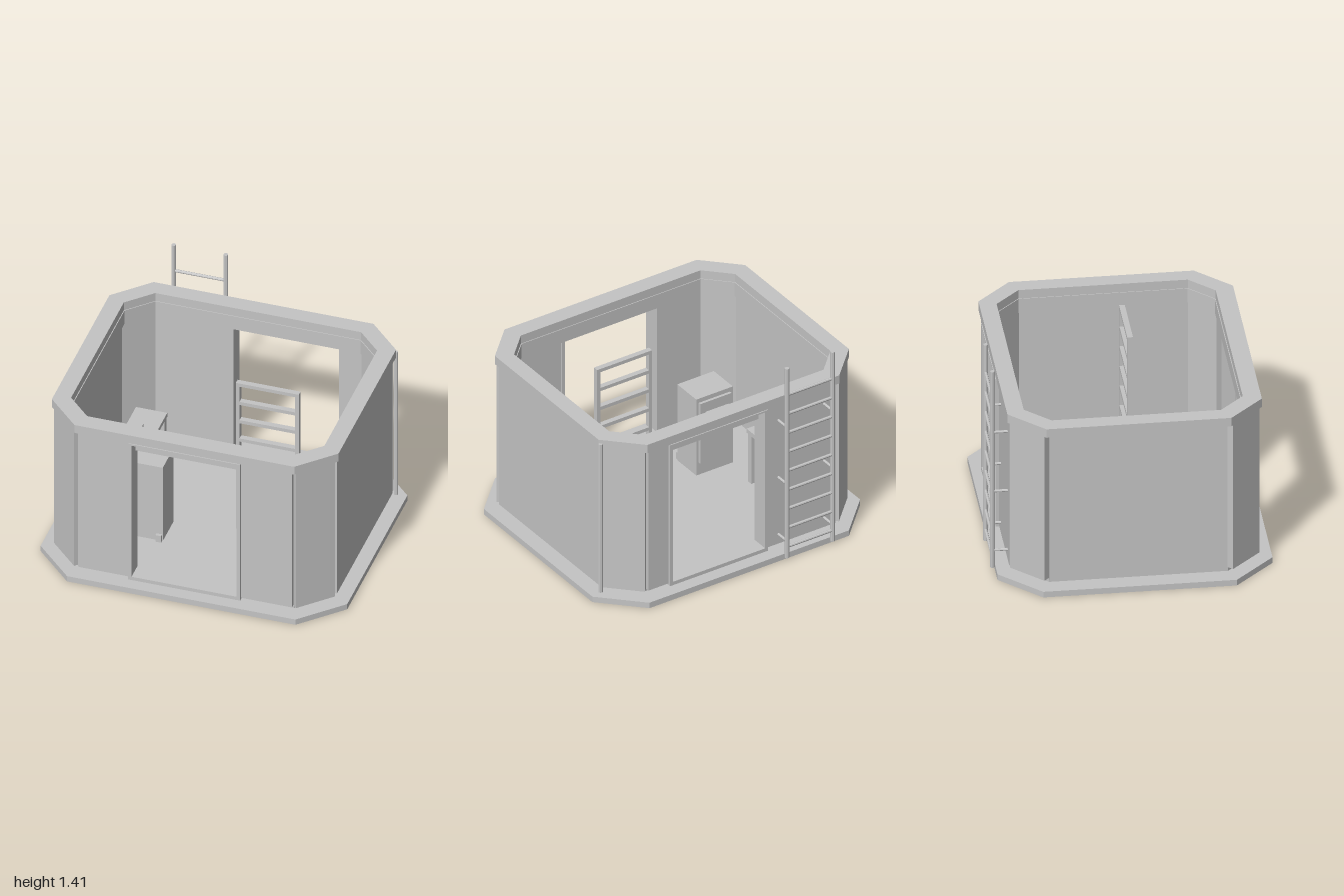
import * as THREE from 'three';

export function createModel() {
  const root = new THREE.Group();
  root.name = 'shelter';
  const grey = new THREE.MeshStandardMaterial({ color: 0xc4c4c4 });
  grey.name = 'plain grey';

  const add = (name, geometry, parent = root) => {
    const mesh = new THREE.Mesh(geometry, grey);
    mesh.name = name;
    parent.add(mesh);
    return mesh;
  };
  const group = (name) => {
    const g = new THREE.Group();
    g.name = name;
    root.add(g);
    return g;
  };
  // Box given by its limits on each axis
  const box = (name, x0, x1, y0, y1, z0, z1, parent) => {
    const mesh = add(name, new THREE.BoxGeometry(x1 - x0, y1 - y0, z1 - z0), parent);
    mesh.position.set((x0 + x1) / 2, (y0 + y1) / 2, (z0 + z1) / 2);
    return mesh;
  };
  // Faceted bar between two points
  const bar = (name, a, b, r, parent) => {
    const p = new THREE.Vector3(...a), d = new THREE.Vector3(...b).sub(p);
    const geometry = new THREE.CylinderGeometry(r, r, d.length(), 8).toNonIndexed();
    geometry.computeVertexNormals();
    const mesh = add(name, geometry, parent);
    mesh.position.copy(p).addScaledVector(d, 0.5);
    mesh.quaternion.setFromUnitVectors(new THREE.Vector3(0, 1, 0), d.normalize());
    return mesh;
  };
  // Plan of a rectangle with cut corners (shape y is -z)
  const plan = (x, front, back, cut) => [
    [x, -front + cut], [x, -back - cut], [x - cut, -back], [cut - x, -back],
    [-x, -back - cut], [-x, -front + cut], [cut - x, -front], [x - cut, -front],
  ].map(([a, b]) => new THREE.Vector2(a, b));
  const slab = (name, outer, inner, y0, y1) => {
    const shape = new THREE.Shape(outer);
    if (inner) shape.holes.push(new THREE.Path(inner));
    const geometry = new THREE.ExtrudeGeometry(shape, { depth: y1 - y0, bevelEnabled: false });
    geometry.rotateX(-Math.PI / 2).translate(0, y0, 0);
    return add(name, geometry);
  };

  // Base, floor and open roof edge
  slab('base', plan(1, 0.875, -0.845, 0.255), null, 0, 0.04);
  slab('floor', plan(0.88, 0.76, -0.72, 0.18), null, 0.04, 0.07);
  slab('roofRing', plan(0.935, 0.812, -0.78, 0.218), plan(0.826, 0.698, -0.672, 0.155), 1.1, 1.16);
  slab('innerBeam', plan(0.86, 0.74, -0.71, 0.17), plan(0.821, 0.693, -0.667, 0.152), 1.0, 1.1);

  // Side walls and corner panels, with a groove at each joint
  const walls = group('walls');
  for (const s of [-1, 1]) {
    box('sideWall', s > 0 ? 0.835 : -0.918, s > 0 ? 0.918 : -0.835, 0.07, 1.1, -0.54, 0.573, walls);
    for (const f of [-1, 1]) {
      const panel = add('cornerPanel', new THREE.BoxGeometry(0.27, 1.03, 0.1), walls);
      const inset = 0.05 * Math.SQRT1_2;
      panel.position.set(s * (0.82 - inset), 0.585, 0.017 + f * (0.685 - inset));
      panel.rotation.y = s * f * Math.PI / 4;
    }
  }

  // Front and back walls, each with a framed doorway
  const doorWall = (side, z0, z1, f0, f1, x0, x1) => {
    const g = group(side + 'Wall');
    box('wallPanel', -0.698, x0 + 0.005, 0.07, 1.1, z0, z1, g);
    box('wallPanel', x1 - 0.005, 0.698, 0.07, 1.1, z0, z1, g);
    box('doorJamb', x0, x0 + 0.022, 0.06, 1.1, f0, f1, g);
    box('doorJamb', x1 - 0.022, x1, 0.06, 1.1, f0, f1, g);
    box('doorSill', x0, x1, 0.06, 0.085, f0, f1, g);
    box('doorHeader', x0, x1, 1.088, 1.099, f0, f1, g);
  };
  doorWall('front', 0.705, 0.797, 0.694, 0.817, -0.365, 0.365);
  doorWall('back', -0.765, -0.675, -0.785, -0.668, -0.182, 0.55);

  // Drain pipe beside the back corner
  bar('drainPipe', [0.93, 0.045, -0.577], [0.93, 1.135, -0.577], 0.014);

  // Outside ladder
  const ladder = group('outsideLadder');
  for (const x of [-0.613, -0.272]) {
    bar('ladderRail', [x, 0.02, -0.86], [x, 1.415, -0.86], 0.015, ladder);
    for (const y of [0.14, 0.56, 0.98]) bar('ladderBracket', [x, y, -0.86], [x, y, -0.74], 0.009, ladder);
  }
  for (let i = 0; i < 9; i++) {
    const y = 1.218 - i * 0.14;
    bar('ladderRung', [-0.613, y, -0.86], [-0.272, y, -0.86], 0.01, ladder);
  }

  // Inside ladder of square bars
  const inner = group('insideLadder');
  box('ladderRail', 0.108, 0.132, 0.07, 1.16, 0.074, 0.11, inner);
  box('ladderRail', 0.495, 0.519, 0.07, 1.16, 0.074, 0.11, inner);
  box('topRung', 0.108, 0.519, 1.16, 1.184, 0.074, 0.11, inner);
  for (let i = 1; i < 8; i++) {
    const y = 1.184 - i * 0.14;
    box('ladderRung', 0.132, 0.495, y - 0.024, y, 0.074, 0.11, inner);
  }

  // Cabinet with front feet, rear panel and handle
  const cabinet = group('cabinet');
  box('cabinetBody', -0.555, -0.282, 0.07, 0.63, 0.165, 0.377, cabinet);
  box('rearPanel', -0.533, -0.3, 0.16, 0.6, 0.146, 0.165, cabinet);
  box('rearHandle', -0.508, -0.338, 0.5, 0.53, 0.136, 0.146, cabinet);
  for (const x of [-0.55, -0.324])
    box('cabinetFoot', x, x + 0.038, 0.07, 0.12, 0.377, 0.398, cabinet);

  // Small table with end panels and a block on top
  const table = group('table');
  box('tableTop', -0.716, -0.512, 0.42, 0.45, -0.422, -0.052, table);
  box('tableEnd', -0.716, -0.512, 0.07, 0.42, -0.405, -0.37, table);
  box('tableEnd', -0.716, -0.512, 0.07, 0.42, -0.105, -0.07, table);
  box('tableBlock', -0.637, -0.587, 0.45, 0.52, -0.172, -0.122, table);

  return root;
}
